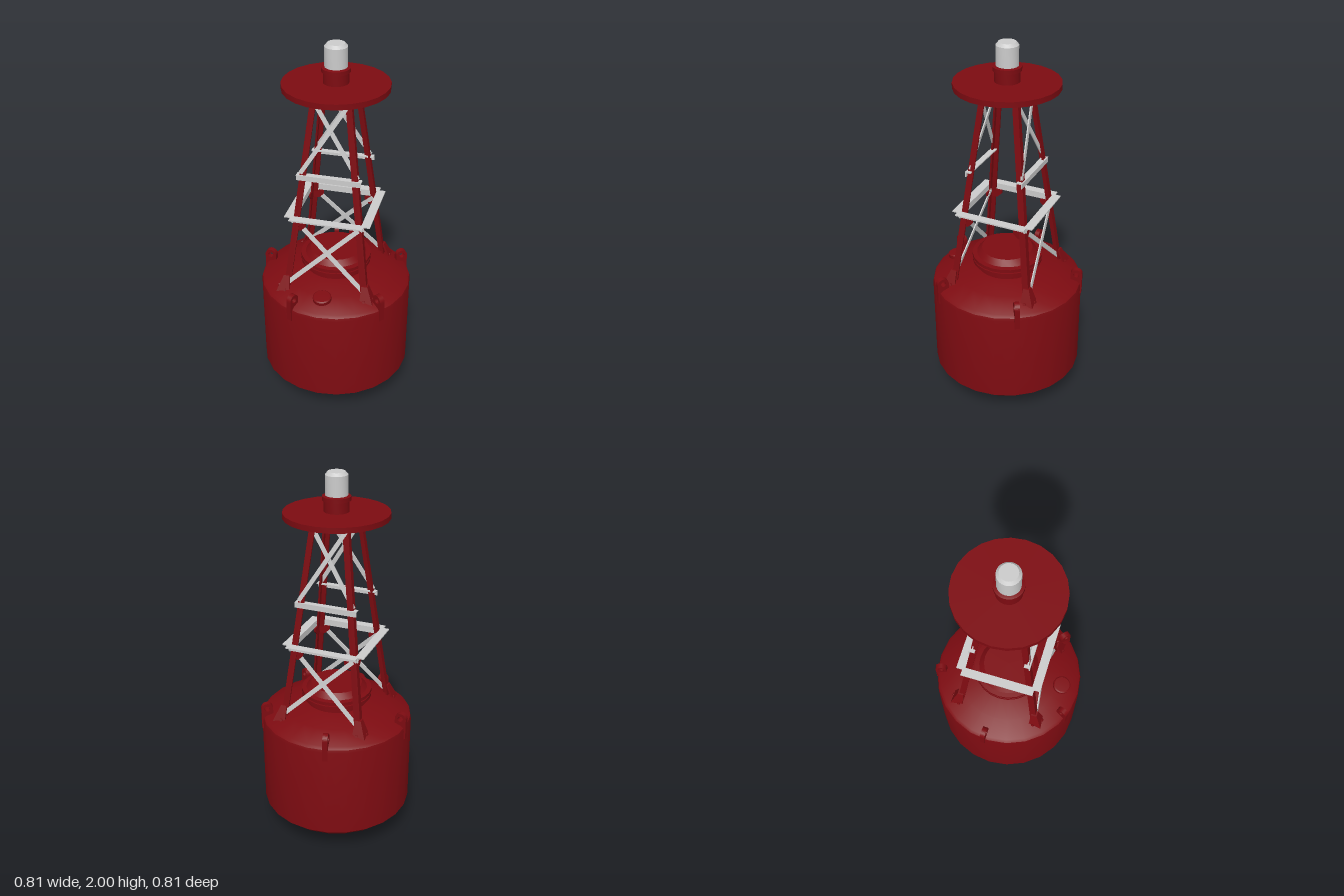
import * as THREE from 'three';
import { toCreasedNormals } from 'three/addons/utils/BufferGeometryUtils.js';

const red = new THREE.MeshStandardMaterial({ color: 0x7d0b11 });
const grey = new THREE.MeshStandardMaterial({ color: 0xcccccc });
const V = (x, y, z) => new THREE.Vector3(x, y, z);

// Distance of the outer leg corner from the axis planes at height y
const legAt = (y) => 0.225 - 0.125 * (y - 0.72) / 1.035;

function add(parent, name, geometry, material) {
  const mesh = new THREE.Mesh(geometry, material);
  mesh.name = name;
  parent.add(mesh);
  return mesh;
}

function lathe(points, segments = 24) {
  const g = new THREE.LatheGeometry(points.map(([r, y]) => new THREE.Vector2(r, y)), segments);
  return toCreasedNormals(g, 0.42);
}

// Tapered angle section with its corner facing outwards
function angleBar(y0, s0, w0, y1, s1, w1, t) {
  const section = (y, s, w) => [[s, s], [s - w, s], [s - w, s - t], [s - t, s - t], [s - t, s - w], [s, s - w]]
    .flatMap(([x, z]) => [x, y, z]);
  const index = [];
  for (let i = 0; i < 6; i++) {
    const j = (i + 1) % 6;
    index.push(i, i + 6, j + 6, i, j + 6, j);
  }
  for (let i = 1; i < 5; i++) index.push(0, i, i + 1, 6, i + 7, i + 6);
  const g = new THREE.BufferGeometry();
  g.setAttribute('position', new THREE.Float32BufferAttribute([...section(y0, s0, w0), ...section(y1, s1, w1)], 3));
  g.setIndex(index);
  const flat = g.toNonIndexed();
  flat.computeVertexNormals();
  return flat;
}

// Flat strip between two points, lying in the sloping front face of the tower
function strip(parent, name, a, b, width, thickness) {
  const dir = b.clone().sub(a);
  const mesh = add(parent, name, new THREE.BoxGeometry(dir.length(), width, thickness), grey);
  const x = dir.normalize();
  const z = V(0, 0.12, 1).normalize();
  const y = z.clone().cross(x).normalize();
  z.crossVectors(x, y);
  mesh.quaternion.setFromRotationMatrix(new THREE.Matrix4().makeBasis(x, y, z));
  mesh.position.copy(a).add(b).multiplyScalar(0.5);
}

// Horizontal angle iron; flange is the signed depth of its level leg
function crossBar(parent, half, yTop, z, height, flange) {
  add(parent, 'crossBarWeb', new THREE.BoxGeometry(2 * half, height, 0.006), grey)
    .position.set(0, yTop - height / 2, z);
  add(parent, 'crossBarFlange', new THREE.BoxGeometry(2 * half, 0.006, Math.abs(flange)), grey)
    .position.set(0, yTop - 0.003, z + flange / 2);
}

function createHull(model) {
  // Dished bottom, straight wall, rounded shoulder and shallow deck
  const profile = [];
  const R = 0.556, rim = Math.asin(0.403 / R);
  for (let i = 0; i <= 8; i++) {
    const a = rim * i / 8;
    profile.push([R * Math.sin(a), 0.005 + R * (1 - Math.cos(a))]);
  }
  profile.push([0.403, 0.675], [0.399, 0.69], [0.385, 0.702], [0.28, 0.738], [0.16, 0.77], [0, 0.775]);
  add(model, 'hull', lathe(profile), red);

  // Hatch neck, bolted flange and dished cover
  add(model, 'hatch', lathe([[0.162, 0.74], [0.162, 0.8], [0.186, 0.8], [0.186, 0.818], [0.178, 0.819],
    [0.178, 0.823], [0.186, 0.824], [0.186, 0.842], [0.162, 0.845], [0.135, 0.873], [0, 0.873]]), red);

  // Small capped filler on the front of the deck
  const filler = add(model, 'fillerCap', lathe([[0.036, -0.02], [0.036, 0.012], [0.048, 0.012],
    [0.048, 0.03], [0.042, 0.035], [0, 0.037]], 20), red);
  filler.position.set(0.005, 0.725, 0.3);
  filler.rotation.x = 0.15;

  // Five lifting eyes around the shoulder
  const s = new THREE.Shape();
  s.moveTo(0.395, 0.62);
  s.lineTo(0.408, 0.63);
  s.lineTo(0.408, 0.742);
  s.absarc(0.377, 0.742, 0.031, 0, Math.PI, false);
  s.lineTo(0.346, 0.69);
  s.lineTo(0.395, 0.66);
  s.closePath();
  const hole = new THREE.Path();
  hole.absarc(0.377, 0.742, 0.015, 0, Math.PI * 2, true);
  s.holes.push(hole);
  const eye = new THREE.ExtrudeGeometry(s, { depth: 0.027, bevelEnabled: false, curveSegments: 8 });
  eye.translate(0, 0, -0.0135);
  for (let i = 0; i < 5; i++) {
    add(model, 'liftingEye', eye, red).rotation.y = -THREE.MathUtils.degToRad(-32 + 72 * i);
  }
}

function createTower(model) {
  const tower = new THREE.Group();
  tower.name = 'tower';
  model.add(tower);
  const leg = angleBar(0.72, legAt(0.72), 0.034, 1.755, legAt(1.755), 0.03, 0.009);
  const foot = angleBar(0.695, 0.264, 0.075, 0.795, 0.224, 0.032, 0.01);
  const bolt = new THREE.CylinderGeometry(0.008, 0.008, 0.008, 8);
  bolt.rotateX(Math.PI / 2 - 0.38);

  // Trapezoid plate joining a leg to the main cross bar
  const p = new THREE.Shape([[0, 0], [0.062, 0], [0.062, -0.018], [0.035, -0.045], [-0.006, -0.045]]
    .map(([x, y]) => new THREE.Vector2(x, y)));
  const gusset = new THREE.ExtrudeGeometry(p, { depth: 0.008, bevelEnabled: false });
  gusset.translate(0, 0, -0.004);

  for (let i = 0; i < 4; i++) {
    const side = new THREE.Group();
    side.name = 'towerSide';
    side.rotation.y = i * Math.PI / 2;
    tower.add(side);
    add(side, 'leg', leg, red);
    add(side, 'foot', foot, red);

    for (const m of [-1, 1]) {
      add(side, 'footBolt', bolt, red).position.set(m * 0.212, 0.722, 0.255);
      const plate = add(side, 'gusset', gusset, red);
      plate.position.set(m * 0.175, 1.1, legAt(1.1) - 0.004);
      plate.rotation.y = m > 0 ? Math.PI : 0;
    }
    crossBar(side, 0.19, 1.136, legAt(1.12) + 0.003, 0.034, 0.042);

    // Front and back carry the crossed braces and the upper bar
    if (i % 2 === 0) {
      crossBar(side, 0.165, 1.362, legAt(1.35) + 0.003, 0.028, -0.028);
      for (const m of [-1, 1]) {
        const o = m * 0.003 - 0.006;
        strip(side, 'lowerBrace', V(-m * 0.215, 0.74, legAt(0.74) + o),
          V(m * 0.16, 1.1, legAt(1.1) + o), 0.024, 0.006);
        strip(side, 'upperBrace', V(-m * 0.145, 1.37, legAt(1.37) + o),
          V(m * 0.088, 1.74, legAt(1.74) + o), 0.022, 0.006);
      }
    }
  }
}

function createTop(model) {
  // Round platform with a stiffening disc below
  add(model, 'platform', lathe([[0, 1.765], [0.175, 1.765], [0.175, 1.778], [0.265, 1.778],
    [0.265, 1.806], [0, 1.806]]), red);
  add(model, 'lanternBase', lathe([[0.063, 1.8], [0.063, 1.86], [0.071, 1.862], [0.071, 1.882],
    [0.058, 1.886], [0, 1.886]]), red);
  add(model, 'lanternLens', lathe([[0.056, 1.88], [0.056, 1.985], [0.043, 2.0], [0, 2.0]]), grey);
}

export function createModel() {
  const model = new THREE.Group();
  model.name = 'buoy';
  createHull(model);
  createTower(model);
  createTop(model);
  return model;
}
